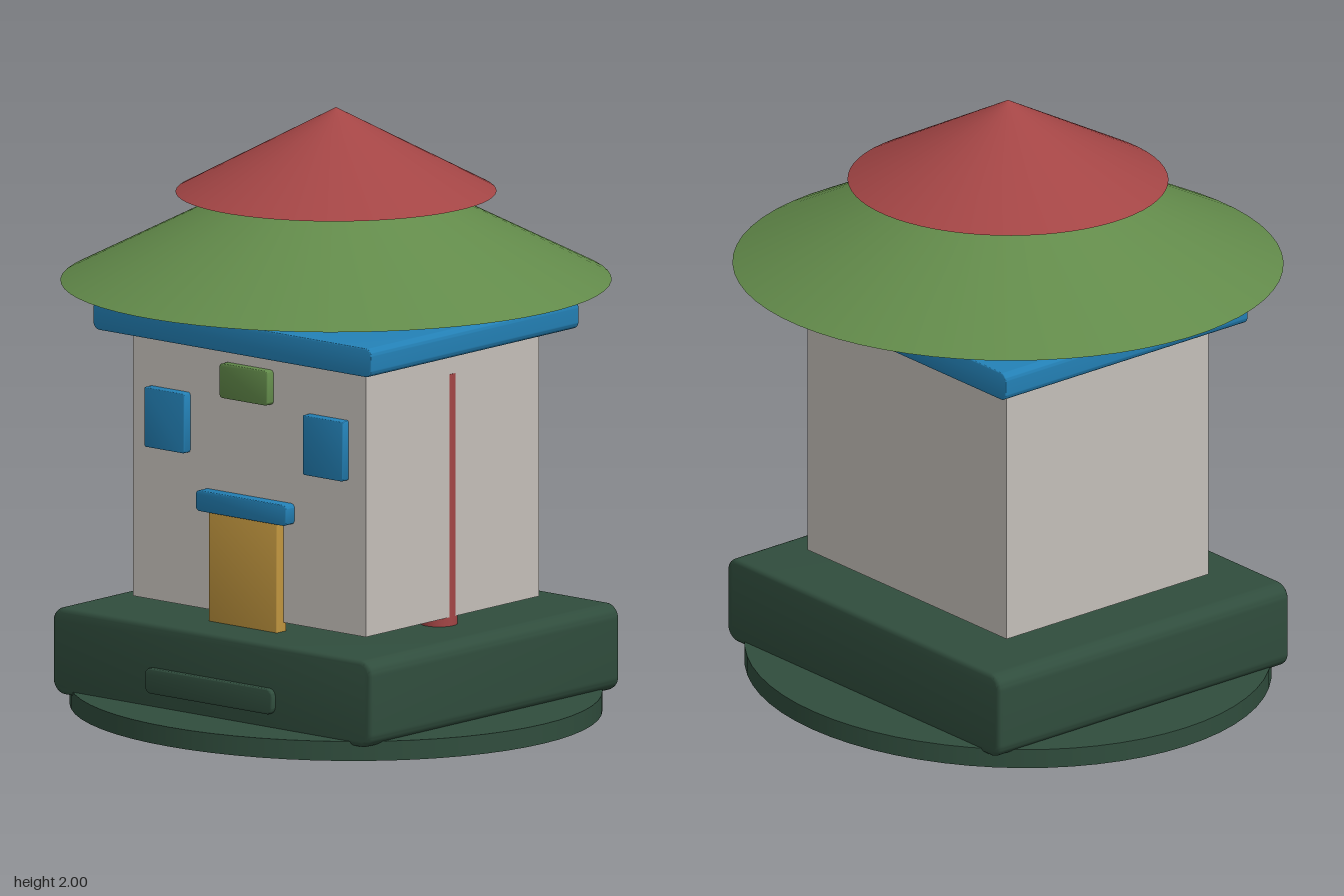
import * as THREE from 'three';
import { toCreasedNormals } from 'three/addons/utils/BufferGeometryUtils.js';

const paint = (name, color) => {
  const m = new THREE.MeshStandardMaterial({ color });
  m.name = name;
  return m;
};

export function createModel() {
  const group = new THREE.Group();
  const darkGreen = paint('dark green', 0x304d3d);
  const leafGreen = paint('leaf green', 0x628a4a);
  const red = paint('brick red', 0xa34545);
  const blue = paint('blue', 0x2380b5);
  const stone = paint('pale stone', 0xc4bfb9);
  const gold = paint('ochre', 0xc1963f);

  const add = (name, geometry, material, x = 0, y = 0, z = 0) => {
    const mesh = new THREE.Mesh(geometry, material);
    mesh.name = name;
    mesh.position.set(x, y, z);
    group.add(mesh);
    return mesh;
  };

  // Rounded rectangle spanning x0..x1, y0..y1, extruded from z0 to z1
  const slab = (name, material, [x0, x1], [y0, y1], [z0, z1], r, bevel) => {
    const s = new THREE.Shape();
    s.moveTo(x0 + r, y0);
    s.lineTo(x1 - r, y0).absarc(x1 - r, y0 + r, r, -Math.PI / 2, 0);
    s.lineTo(x1, y1 - r).absarc(x1 - r, y1 - r, r, 0, Math.PI / 2);
    s.lineTo(x0 + r, y1).absarc(x0 + r, y1 - r, r, Math.PI / 2, Math.PI);
    s.lineTo(x0, y0 + r).absarc(x0 + r, y0 + r, r, Math.PI, Math.PI * 1.5);
    const g = new THREE.ExtrudeGeometry(s, {
      depth: z1 - z0 - 2 * bevel, curveSegments: 6, bevelEnabled: bevel > 0,
      bevelThickness: bevel, bevelSize: bevel, bevelOffset: -bevel, bevelSegments: 3,
    });
    return add(name, toCreasedNormals(g, 0.6), material, 0, 0, z0 + bevel);
  };

  // Oval ground disc and plinth
  add('groundDisc', new THREE.CylinderGeometry(0.895, 0.895, 0.065, 64), darkGreen, 0, 0.0325)
    .scale.z = 0.835 / 0.895;
  slab('plinth', darkGreen, [-0.69, 0.69], [0.05, 0.34], [-0.62, 0.62], 0.05, 0.015);
  slab('plinthPlate', darkGreen, [-0.275, 0.275], [0.11, 0.195], [0.6, 0.638], 0.025, 0.005);

  // Walls and cornice
  add('walls', new THREE.BoxGeometry(1.006, 0.89, 0.864), stone, 0, 0.815);
  slab('cornice', blue, [-0.6, 0.6], [1.26, 1.355], [-0.518, 0.518], 0.025, 0.003);

  // Door, canopy, sign and windows
  slab('door', gold, [-0.147, 0.147], [0.335, 0.705], [0.418, 0.465], 0.005, 0.003);
  slab('doorCanopy', blue, [-0.195, 0.195], [0.703, 0.772], [0.42, 0.475], 0.015, 0.003);
  slab('sign', leafGreen, [-0.104, 0.104], [1.09, 1.205], [0.42, 0.462], 0.012, 0.003);
  for (const side of [-1, 1]) {
    const c = side * 0.342;
    slab(side < 0 ? 'rightWindow' : 'leftWindow', blue,
      [c - 0.087, c + 0.087], [0.882, 1.082], [0.42, 0.462], 0.008, 0.003);
  }

  // Post sunk into the left wall
  add('post', new THREE.CylinderGeometry(0.061, 0.061, 0.85, 48), red, 0.444, 0.755);

  // Two oval cone roofs, long axis on the diagonal
  const roof = (name, material, long, short, y, height) => {
    const m = add(name, new THREE.ConeGeometry(1, height, 64), material, 0, y + height / 2);
    m.scale.set(long, 1, short);
    m.rotation.y = Math.PI / 4;
  };
  roof('lowerRoof', leafGreen, 0.9, 0.84, 1.425, 0.46);
  roof('upperRoof', red, 0.524, 0.485, 1.72, 0.28);

  return group;
}
